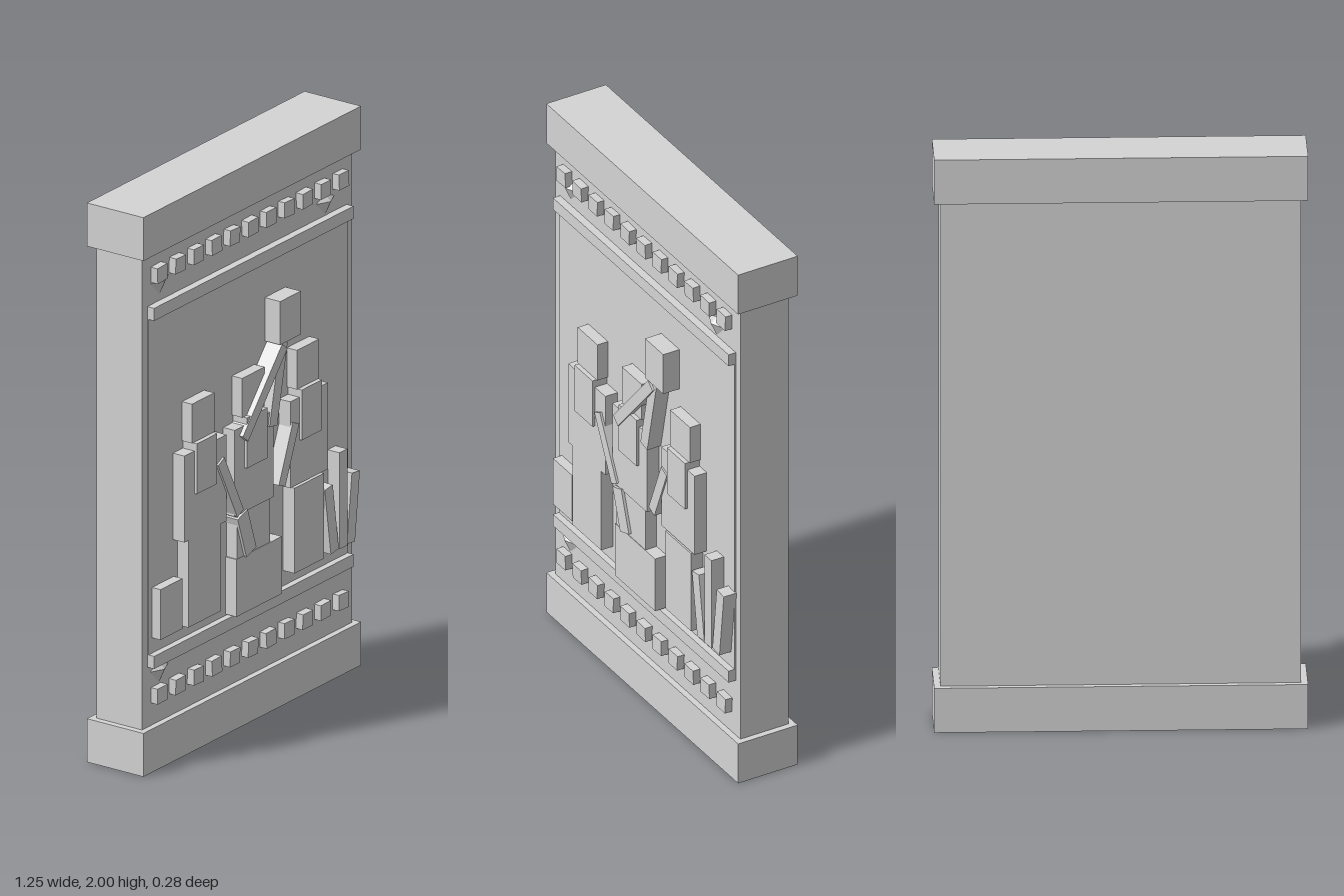
import * as THREE from 'three';

export function createModel() {
  const group = new THREE.Group();
  const stone = new THREE.MeshStandardMaterial({ color: 0xd4d4d4 });
  stone.name = 'light grey stone';
  const FACE = 0.072; // front surface of the slab

  function add(name, geometry, x, y, z, turn = 0) {
    const mesh = new THREE.Mesh(geometry, stone);
    mesh.name = name;
    mesh.position.set(x, y, z);
    mesh.rotation.z = turn;
    group.add(mesh);
    return mesh;
  }

  // Box given by its limits
  function block(name, x0, x1, y0, y1, z0, z1) {
    return add(name, new THREE.BoxGeometry(x1 - x0, y1 - y0, z1 - z0),
      (x0 + x1) / 2, (y0 + y1) / 2, (z0 + z1) / 2);
  }

  // Carved block standing out from the slab
  const relief = (name, x0, x1, y0, y1, front) => block(name, x0, x1, y0, y1, FACE - 0.01, front);

  // Tilted bar between two points on the slab
  function bar(name, x0, y0, x1, y1, width, front) {
    const dx = x1 - x0, dy = y1 - y0, depth = front - FACE + 0.01;
    add(name, new THREE.BoxGeometry(width, Math.hypot(dx, dy), depth),
      (x0 + x1) / 2, (y0 + y1) / 2, front - depth / 2, Math.atan2(-dx, dy));
  }

  // Slab with base and cap
  block('slab', -0.6, 0.6, 0.13, 1.87, -0.114, FACE);
  block('base', -0.623, 0.622, 0, 0.155, -0.137, 0.094);
  block('cap', -0.623, 0.622, 1.845, 2, -0.137, 0.094);

  // Thin picture field between two rails
  block('field', -0.57, 0.57, 0.41, 1.62, FACE - 0.002, FACE + 0.005);
  relief('lowerRail', -0.57, 0.57, 0.37, 0.415, 0.1);
  relief('upperRail', -0.57, 0.57, 1.615, 1.66, 0.1);

  // Rows of small, slightly uneven blocks
  for (const y of [0.263, 1.768]) {
    for (let i = 0; i < 11; i++) {
      const dent = add('borderBlock', new THREE.BoxGeometry(0.057, 0.055, 0.04),
        -0.52 + i * 0.1038, y, 0.079, Math.sin(i * 2.3 + y) * 0.04);
      dent.rotation.x = Math.sin(i * 1.7) * 0.04;
    }
  }

  // Faceted studs, pointing down; y is the widest level
  for (const [x, y] of [[-0.5, 1.735], [0.447, 1.715], [-0.503, 0.347]]) {
    const stud = new THREE.Group();
    stud.name = 'stud';
    const point = new THREE.Mesh(new THREE.ConeGeometry(0.052, 0.052, 4), stone);
    point.name = 'studPoint';
    point.rotation.x = Math.PI;
    point.position.y = -0.026;
    const crown = new THREE.Mesh(new THREE.ConeGeometry(0.052, 0.02, 4), stone);
    crown.name = 'studCrown';
    crown.position.y = 0.01;
    stud.add(point, crown);
    for (const part of stud.children) part.geometry = part.geometry.toNonIndexed();
    for (const part of stud.children) part.geometry.computeVertexNormals();
    stud.scale.z = 0.45;
    stud.position.set(x, y, FACE);
    group.add(stud);
  }

  // Three figures: head, beard and torso
  for (const [x, torso0, torso1] of [[-0.315, -0.43, -0.19], [-0.028, -0.143, 0.08], [0.285, 0.175, 0.39]]) {
    relief('head', x - 0.064, x + 0.064, 1.12, 1.26, 0.118);
    relief('beard', x - 0.058, x + 0.058, 0.94, 1.12, 0.134);
    relief('torso', torso0, torso1, 0.783, 1.092, 0.124);
  }

  // Robes and seat
  relief('leftRobe', -0.405, -0.22, 0.47, 0.785, 0.122);
  relief('middleRobe', -0.125, 0.065, 0.5, 0.783, 0.12);
  relief('rightRobe', 0.2, 0.367, 0.47, 0.775, 0.124);
  relief('seat', -0.13, 0.13, 0.42, 0.625, 0.122);
  relief('stool', -0.55, -0.425, 0.47, 0.65, 0.112);

  // Raised head and its two limbs
  relief('raisedHead', 0.095, 0.213, 1.325, 1.48, 0.14);
  bar('raisedArm', -0.1, 1.05, 0.125, 1.31, 0.04, 0.138);
  bar('raisedArm', 0.07, 1.04, 0.13, 1.32, 0.045, 0.13);

  // Arms of the outer figures
  bar('upperArm', -0.23, 1.01, -0.12, 0.79, 0.04, 0.132);
  bar('forearm', -0.105, 0.78, -0.055, 0.63, 0.06, 0.13);
  bar('upperArm', 0.2, 1.01, 0.12, 0.81, 0.04, 0.13);

  // Reeds at the right edge
  bar('reed', 0.43, 0.475, 0.395, 0.715, 0.046, 0.124);
  bar('reed', 0.478, 0.475, 0.478, 0.82, 0.045, 0.125);
  bar('reed', 0.525, 0.475, 0.553, 0.72, 0.046, 0.122);

  return group;
}
